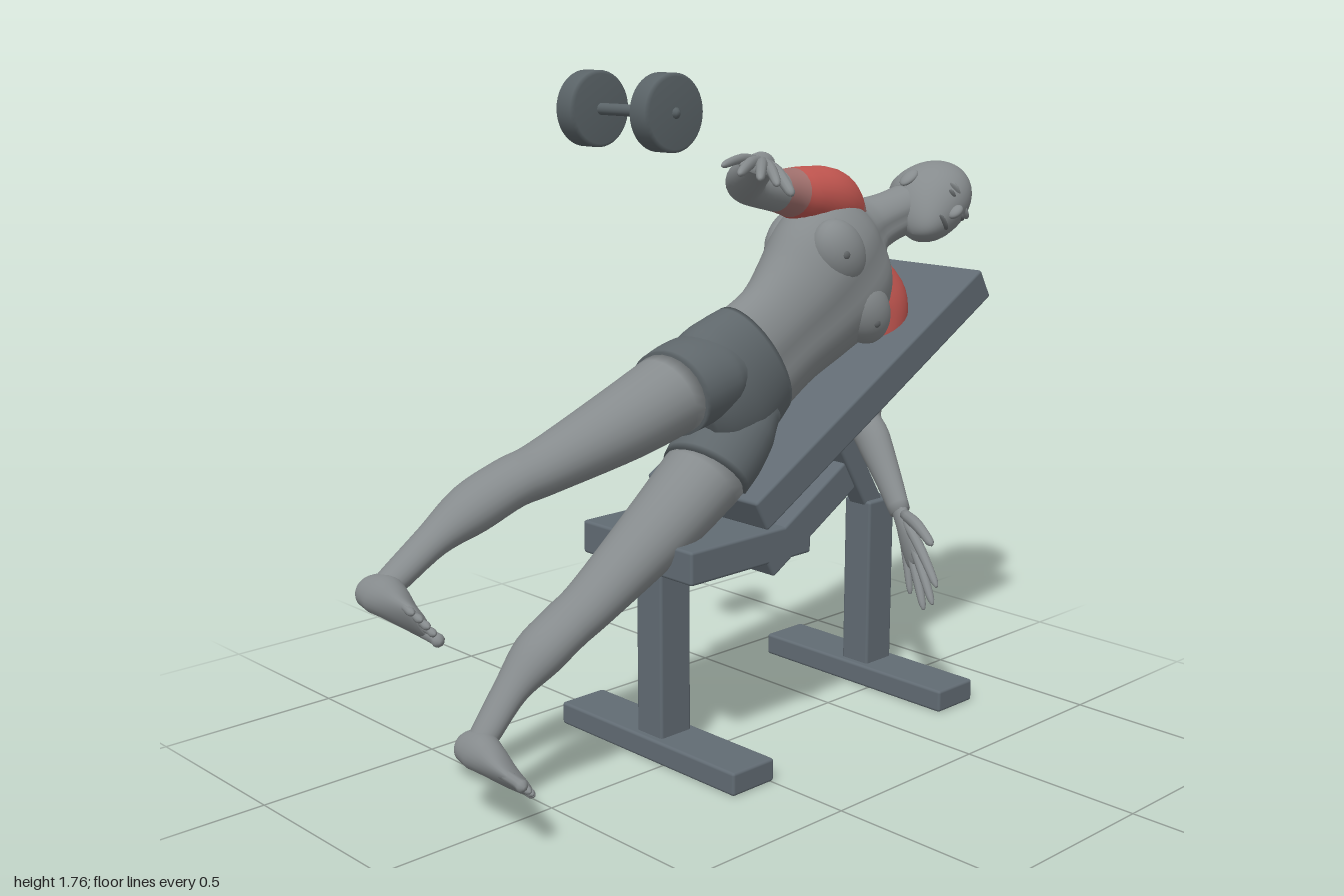
import * as THREE from 'three';
import { RoundedBoxGeometry } from 'three/addons/geometries/RoundedBoxGeometry.js';

const mat = (name, color) => Object.assign(new THREE.MeshStandardMaterial({ color }), { name });
const V = (x, y, z) => new THREE.Vector3(x, y, z);

// directions of the reclining body: along the spine and towards its upper side
const TILT = THREE.MathUtils.degToRad(33);
const UP = V(0, Math.sin(TILT), -Math.cos(TILT));
const SIDE = V(0, Math.cos(TILT), Math.sin(TILT));

export function createModel() {
  const skin = mat('skin', 0x868b8d);
  const shorts = mat('shorts', 0x5f676b);
  const red = mat('working muscle', 0xc0554f);
  const blush = mat('muscle edge', 0xa2716e);
  const dark = mat('skin detail', 0x65696b);
  const frame = mat('bench', 0x616b73);
  const iron = mat('dumbbell', 0x5a6367);

  const model = new THREE.Group();
  const add = (parent, name, geometry, material) => {
    const mesh = new THREE.Mesh(geometry, material);
    mesh.name = name;
    parent.add(mesh);
    return mesh;
  };
  const group = (name) => {
    const g = new THREE.Group();
    g.name = name;
    model.add(g);
    return g;
  };

  // Smooth tube through stations [x, y, z, halfA, halfB]; bands = [[material, end station], ...]
  function loft(parent, name, stations, bands, { ref = V(1, 0, 0), sides = 24, steps = 5, groove = 0 } = {}) {
    const path = new THREE.CatmullRomCurve3(stations.map((s) => V(s[0], s[1], s[2])), false, 'catmullrom');
    const size = new THREE.CatmullRomCurve3(stations.map((s) => V(s[3], s[4], 0)), false, 'catmullrom');
    const rings = (stations.length - 1) * steps;
    const pos = [], index = [];
    for (let i = 0; i <= rings; i++) {
      const c = path.getPoint(i / rings), r = size.getPoint(i / rings), t = path.getTangent(i / rings);
      const a = ref.clone().addScaledVector(t, -ref.dot(t)).normalize();
      const b = t.clone().cross(a);
      for (let j = 0; j < sides; j++) {
        const w = (j / sides) * Math.PI * 2;
        const k = 1 - groove * Math.exp(-Math.pow(Math.sin(w) / 0.22, 2));
        const p = c.clone().addScaledVector(a, Math.cos(w) * r.x * k).addScaledVector(b, Math.sin(w) * r.y);
        pos.push(p.x, p.y, p.z);
      }
    }
    const first = stations[0], last = stations[stations.length - 1], n = (rings + 1) * sides;
    pos.push(first[0], first[1], first[2], last[0], last[1], last[2]);
    for (let j = 0; j < sides; j++) index.push(n, (j + 1) % sides, j);
    for (let i = 0; i < rings; i++) {
      for (let j = 0; j < sides; j++) {
        const p = i * sides + j, p1 = i * sides + ((j + 1) % sides);
        index.push(p, p1, p1 + sides, p, p1 + sides, p + sides);
      }
    }
    for (let j = 0; j < sides; j++) index.push(n + 1, rings * sides + j, rings * sides + ((j + 1) % sides));
    const g = new THREE.BufferGeometry();
    g.setAttribute('position', new THREE.Float32BufferAttribute(pos, 3));
    g.setIndex(index);
    g.computeVertexNormals();
    if (!Array.isArray(bands)) return add(parent, name, g, bands);
    let start = 0;
    bands.forEach(([, end], m) => {
      const stop = m === bands.length - 1 ? index.length : 3 * sides + Math.round(end * steps) * sides * 6;
      g.addGroup(start, stop - start, m);
      start = stop;
    });
    return add(parent, name, g, bands.map((b) => b[0]));
  }

  // Ellipsoid aligned to the body: radii are [front, along spine, sideways]
  function blob(parent, name, p, r, material) {
    const mesh = add(parent, name, new THREE.SphereGeometry(1, 24, 16), material);
    mesh.position.copy(p);
    mesh.scale.set(...r);
    mesh.rotation.x = TILT - Math.PI / 2;
    return mesh;
  }
  const at = (c, x, u, s) => c.clone().addScaledVector(UP, u).addScaledVector(SIDE, s).add(V(x, 0, 0));

  // ---- bench ----
  const bench = group('bench');
  const box = (name, w, h, d, x, y, z, tilt = 0) => {
    const m = add(bench, name, new RoundedBoxGeometry(w, h, d, 2, 0.008), frame);
    m.position.set(x, y, z);
    m.rotation.x = tilt;
  };
  for (const [z, top] of [[0.064, 0.53], [-0.738, 0.545]]) {
    box('footBar', 0.665, 0.062, 0.145, -0.068, 0.031, z);
    box('post', 0.095, top - 0.05, 0.105, -0.068, (top + 0.05) / 2, z);
  }
  box('seat', 0.412, 0.088, 0.43, -0.071, 0.563, -0.059);
  box('seatWedge', 0.412, 0.09, 0.36, -0.071, 0.61, -0.27, 0.53);
  box('backrest', 0.412, 0.092, 1.026, -0.071, 0.903, -0.536, 0.52);
  box('strut', 0.065, 0.4, 0.065, -0.068, 0.69, -0.628, Math.atan2(0.184, 0.3));

  // ---- dumbbell ----
  const dumbbell = group('dumbbell');
  const disc = (name, r, len, x) => {
    const b = Math.min(0.008, len / 4);
    const profile = [[0, -len / 2], [r - b, -len / 2], [r, -len / 2 + b], [r, len / 2 - b], [r - b, len / 2], [0, len / 2]];
    const m = add(dumbbell, name, new THREE.LatheGeometry(profile.map((q) => new THREE.Vector2(...q)), 40), iron);
    m.position.set(x, 1.675, 0.252);
    m.rotation.z = -Math.PI / 2;
  };
  disc('weight', 0.09, 0.066, -0.103);
  disc('weight', 0.09, 0.066, 0.156);
  disc('handle', 0.014, 0.34, 0.026);

  // ---- torso and neck ----
  const body = group('body');
  loft(body, 'torso', [
    [-0.04, 0.96, -0.14, 0.11, 0.16], [-0.04, 1.011, -0.23, 0.108, 0.167], [-0.03, 1.07, -0.316, 0.108, 0.165],
    [-0.03, 1.134, -0.407, 0.132, 0.185], [-0.032, 1.2, -0.493, 0.148, 0.21], [-0.04, 1.253, -0.568, 0.14, 0.205],
    [-0.05, 1.296, -0.633, 0.1, 0.15], [-0.045, 1.323, -0.676, 0.08, 0.09], [-0.03, 1.345, -0.73, 0.07, 0.07],
    [-0.015, 1.37, -0.815, 0.068, 0.068],
  ], skin, { sides: 48, groove: 0.07 });
  const chest = V(0, 1.2, -0.5);
  for (const s of [-1, 1]) {
    blob(body, 'chestMuscle', at(chest, 0.055, 0.0, s * 0.095), [0.066, 0.078, 0.1], skin);
    blob(body, 'nipple', at(chest, 0.11, -0.02, s * 0.115), [0.009, 0.014, 0.014], dark);
    blob(body, 'shoulderBlade', at(chest, -0.12, 0.03, s * 0.1), [0.06, 0.11, 0.085], skin);
    blob(body, 'neckSlope', at(chest, -0.05, 0.14, s * 0.08), [0.07, 0.06, 0.1], skin);
    // stomach muscles
    for (let i = 0; i < 3; i++) {
      blob(body, 'stomachMuscle', at(chest, 0.068 - i * 0.01, -0.1 - i * 0.055, s * 0.035), [0.022, 0.03, 0.036], skin);
    }
  }

  // ---- shorts ----
  loft(body, 'shorts', [
    [-0.035, 0.885, -0.01, 0.07, 0.09], [-0.035, 0.905, -0.045, 0.11, 0.16], [-0.04, 0.941, -0.107, 0.13, 0.195],
    [-0.04, 0.98, -0.175, 0.122, 0.187], [-0.04, 1.013, -0.232, 0.115, 0.172],
  ], shorts, { sides: 40 });
  loft(body, 'shortsLegUpper', [
    [-0.04, 1.01, -0.13, 0.11, 0.08], [-0.04, 1.0, -0.06, 0.13, 0.105], [-0.03, 0.987, 0.01, 0.128, 0.115], [-0.02, 0.97, 0.085, 0.12, 0.112],
  ], shorts, { sides: 32 });
  loft(body, 'shortsLegLower', [
    [-0.04, 0.905, -0.21, 0.11, 0.08], [-0.04, 0.855, -0.155, 0.13, 0.105], [-0.03, 0.8, -0.1, 0.128, 0.115], [-0.02, 0.742, -0.036, 0.12, 0.112],
  ], shorts, { sides: 32 });
  for (const s of [-1, 1]) blob(body, 'buttock', at(V(-0.085, 0.935, -0.1), 0, -0.02, s * 0.085), [0.09, 0.1, 0.09], shorts);

  // ---- legs and feet ----
  const girth = [[0.115, 0.106], [0.1, 0.092], [0.076, 0.066], [0.073, 0.06], [0.07, 0.059], [0.048, 0.04], [0.04, 0.033], [0.03, 0.03]];
  const legX = [-0.02, -0.015, -0.03, -0.045, -0.058, -0.062, -0.06, -0.06];
  function leg(name, yz, big) {
    const n = yz.length, [ay, az] = yz[n - 1];
    const d = V(0, ay - yz[n - 2][0], az - yz[n - 2][1]).normalize();
    const w = V(0, d.z, -d.y);
    const pts = [...yz, [ay + d.y * 0.045, az + d.z * 0.045]];
    loft(body, name, pts.map(([y, z], i) => [legX[i], y, z, ...girth[i]]), skin);
    const on = (x, h, s) => [x, ay + d.y * h + w.y * s, az + d.z * h + w.z * s];
    loft(body, name + 'Foot', [
      [...on(-0.118, 0.05, 0), 0.012, 0.015], [...on(-0.1, 0.047, 0), 0.032, 0.036], [...on(-0.055, 0.04, 0), 0.04, 0.05],
      [...on(0.0, 0.048, 0), 0.043, 0.042], [...on(0.07, 0.062, 0), 0.049, 0.028], [...on(0.125, 0.07, 0), 0.05, 0.018],
      [...on(0.145, 0.072, 0), 0.035, 0.01],
    ], skin, { ref: w });
    for (let i = 0; i < 5; i++) {
      const r = i ? 0.0095 : 0.015, s = big * [0.034, 0.01, -0.009, -0.026, -0.041][i], tip = 0.19 - i * i * 0.0026;
      loft(body, name + 'Toe', [
        [...on(0.1, 0.068, s * 0.95), r, r], [...on(tip - 0.03, 0.073, s), r, r * 0.9],
        [...on(tip - 0.01, 0.076, s), r, r], [...on(tip, 0.077, s), r * 0.3, r * 0.3],
      ], skin, { ref: w, sides: 10, steps: 3 });
    }
  }
  leg('upperLeg', [[0.975, 0.07], [0.92, 0.25], [0.85, 0.48], [0.825, 0.57], [0.78, 0.675], [0.726, 0.78], [0.655, 0.895]], -1);
  leg('lowerLeg', [[0.75, -0.045], [0.645, 0.11], [0.49, 0.33], [0.435, 0.41], [0.376, 0.49], [0.306, 0.57], [0.218, 0.65]], 1);

  // ---- arms and hands ----
  const armSize = [[0.06, 0.06], [0.088, 0.085], [0.085, 0.075], [0.064, 0.058], [0.05, 0.046], [0.05, 0.044], [0.039, 0.035], [0.03, 0.024]];
  function arm(name, pts, tips) {
    loft(body, name, pts.map((p, i) => [...p, ...armSize[i]]), [[blush, 0.4], [red, 2.6], [blush, 3.2], [skin, 7]]);
    const wrist = V(...pts[pts.length - 1]);
    const across = V(...tips[4]).sub(V(...tips[1])).normalize();
    const mid = V(...tips[2]).add(V(...tips[3])).multiplyScalar(0.5);
    const palm = [[-0.08, 0.027, 0.021], [0.12, 0.03, 0.019], [0.32, 0.043, 0.018], [0.5, 0.042, 0.014], [0.56, 0.025, 0.008]];
    loft(body, name + 'Palm', palm.map(([k, a, b]) => [...wrist.clone().lerp(mid, k).toArray(), a, b]), skin, { ref: across });
    tips.forEach((t, i) => {
      const tip = V(...t), thick = i === 0 ? 1.15 : i === 4 ? 0.85 : 1;
      const fingers = [[0.15, 0.013], [0.48, 0.014], [0.72, 0.0125], [0.93, 0.01], [1, 0.004]];
      loft(body, name + (i ? 'Finger' : 'Thumb'), fingers.map(([k, r]) => {
        const p = wrist.clone().lerp(tip, k);
        p.y += 0.012 * Math.sin(k * Math.PI);
        return [...p.toArray(), r * thick, r * thick];
      }), skin, { ref: V(0, 1, 0), sides: 10, steps: 3 });
    });
  }
  arm('upperArm', [
    [-0.045, 1.34, -0.6], [-0.045, 1.405, -0.52], [-0.045, 1.43, -0.42], [-0.04, 1.445, -0.33],
    [-0.02, 1.467, -0.19], [0.04, 1.495, -0.125], [0.14, 1.53, -0.06], [0.23, 1.555, 0.015],
  ], [[0.37, 1.49, 0.06], [0.4, 1.52, 0.14], [0.39, 1.535, 0.185], [0.35, 1.545, 0.21], [0.29, 1.56, 0.205]]);
  arm('lowerArm', [
    [-0.045, 1.22, -0.66], [-0.04, 1.13, -0.71], [-0.035, 1.04, -0.715], [-0.03, 0.95, -0.7],
    [-0.02, 0.81, -0.65], [0.03, 0.745, -0.635], [0.1, 0.66, -0.615], [0.17, 0.575, -0.59],
  ], [[0.355, 0.54, -0.5], [0.395, 0.44, -0.475], [0.375, 0.385, -0.485], [0.33, 0.355, -0.505], [0.25, 0.37, -0.545]]);

  // ---- head ----
  const skull = V(0, 1.382, -0.872);
  const head = blob(body, 'head', skull, [0.124, 0.14, 0.098], skin);
  head.geometry = new THREE.SphereGeometry(1, 40, 28);
  const hp = head.geometry.attributes.position;
  for (let i = 0; i < hp.count; i++) {
    // narrow jaw, chin carried forward, flat cheeks
    const x = hp.getX(i), y = hp.getY(i), z = hp.getZ(i), t = Math.max(0, -y);
    hp.setXYZ(i, x * (x < 0 ? 1 - 0.4 * t : 1) + 0.42 * t * t, y, z * (1 - 0.22 * t * t));
  }
  head.geometry.computeVertexNormals();
  blob(body, 'nose', at(skull, 0.124, -0.03, 0), [0.02, 0.026, 0.014], skin);
  blob(body, 'mouth', at(skull, 0.116, -0.078, 0), [0.012, 0.006, 0.026], dark);
  for (const s of [-1, 1]) {
    blob(body, 'eye', at(skull, 0.108, -0.002, s * 0.037), [0.011, 0.007, 0.016], dark);
    blob(body, 'brow', at(skull, 0.105, 0.018, s * 0.037), [0.015, 0.008, 0.026], skin);
    blob(body, 'ear', at(skull, -0.005, -0.02, s * 0.098), [0.022, 0.034, 0.012], skin);
  }
  return model;
}
